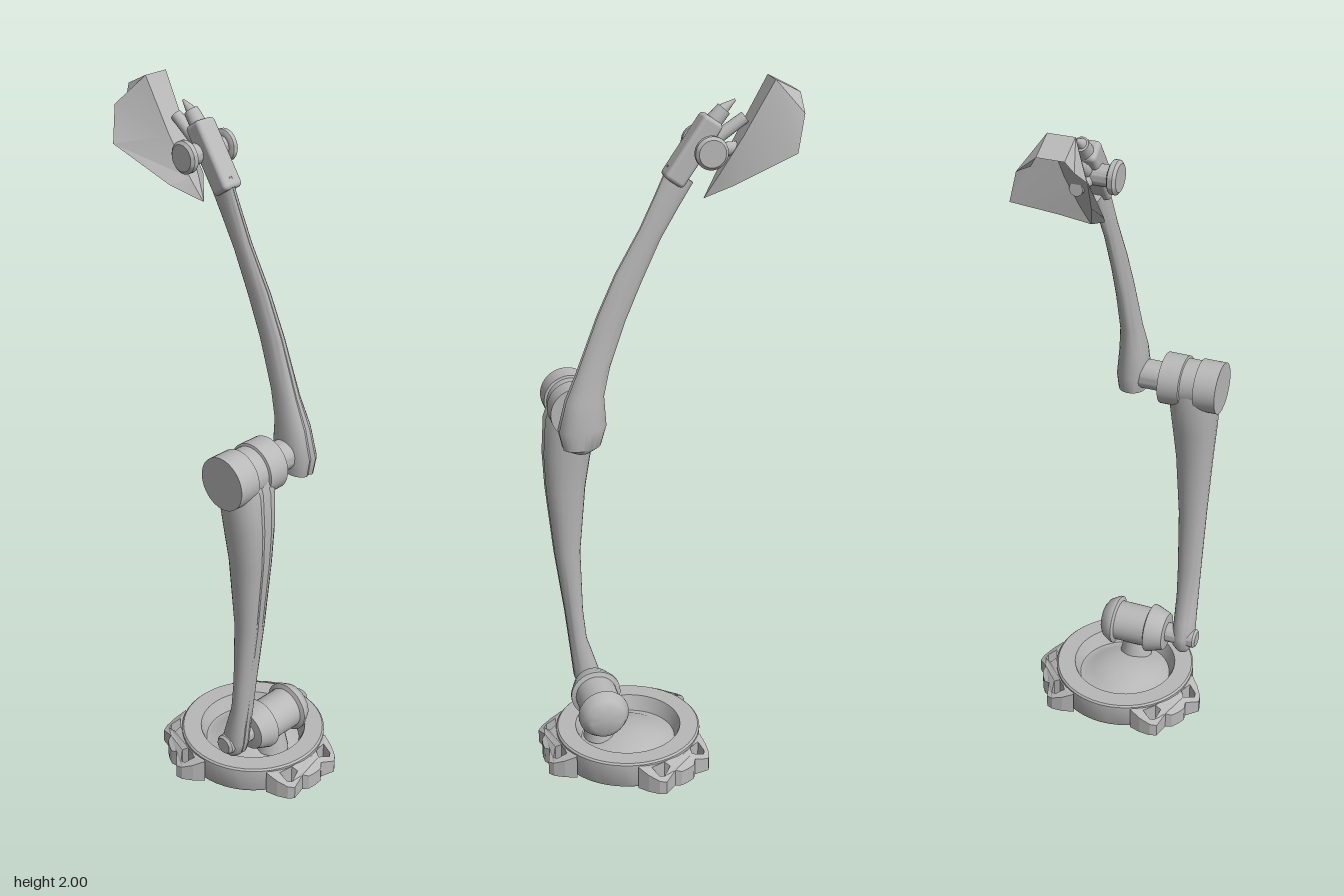
import * as THREE from 'three';
import { toCreasedNormals } from 'three/addons/utils/BufferGeometryUtils.js';
import { RoundedBoxGeometry } from 'three/addons/geometries/RoundedBoxGeometry.js';

const grey = new THREE.MeshStandardMaterial({ color: 0xb8b8b8 });
grey.name = 'grey metal';
const greyShell = new THREE.MeshStandardMaterial({ color: 0xb8b8b8, side: THREE.DoubleSide });
greyShell.name = 'grey metal shell';

function add(parent, name, geometry, x = 0, y = 0, z = 0, material = grey) {
  const mesh = new THREE.Mesh(geometry, material);
  mesh.name = name;
  mesh.position.set(x, y, z);
  parent.add(mesh);
  return mesh;
}

// Turned part from [radius, height] pairs
function turned(profile, segments = 32, crease = 0.6) {
  const points = profile.map(([r, h]) => new THREE.Vector2(r, h));
  return toCreasedNormals(new THREE.LatheGeometry(points, segments), crease);
}

// Turned part lying along z
const turnedZ = (profile, segments) => turned(profile, segments).rotateX(Math.PI / 2);

// Limb lofted upward; each section is [leftX, leftY, rightX, rightY, centreZ, halfZ]
function limb(sections, groove) {
  const n = 24, pos = [], index = [];
  for (const [lx, ly, rx, ry, cz, hz] of sections) {
    for (let k = 0; k < n; k++) {
      const a = (k / n) * Math.PI * 2;
      const c = Math.sign(Math.cos(a)) * Math.abs(Math.cos(a)) ** 0.85 * (k === 0 ? groove : 1);
      pos.push((lx + rx) / 2 + (c * (rx - lx)) / 2, (ly + ry) / 2 + (c * (ry - ly)) / 2, cz + Math.sin(a) * hz);
    }
  }
  const last = sections.length - 1;
  for (let i = 0; i < last; i++) {
    for (let k = 0; k < n; k++) {
      const a = i * n + k, b = i * n + ((k + 1) % n);
      index.push(a, a + n, b, b, a + n, b + n);
    }
  }
  for (let k = 1; k < n - 1; k++) {
    index.push(0, k, k + 1, last * n, last * n + k + 1, last * n + k);
  }
  const g = new THREE.BufferGeometry();
  g.setAttribute('position', new THREE.Float32BufferAttribute(pos, 3));
  g.setIndex(index);
  return toCreasedNormals(g, 0.7);
}

// Sloping foot with two openings, pointing along +x
function footGeometry() {
  const half = [[0.18, 0.125], [0.215, 0.116], [0.245, 0.101], [0.258, 0.085], [0.246, 0.04], [0.258, 0.025]];
  const outline = [...half.map(([x, z]) => [x, -z]), [0.26, 0], ...[...half].reverse()];
  const shape = new THREE.Shape(outline.map(([x, z]) => new THREE.Vector2(x, z)));
  const opening = [[0.204, 0.094], [0.233, 0.092], [0.242, 0.08], [0.23, 0.045], [0.213, 0.052]];
  for (const s of [-1, 1]) {
    shape.holes.push(new THREE.Path(opening.map(([x, z]) => new THREE.Vector2(x, s * z))));
  }
  const g = new THREE.ExtrudeGeometry(shape, { depth: 1, bevelEnabled: false }).rotateX(Math.PI / 2);
  const p = g.attributes.position;
  for (let i = 0; i < p.count; i++) {
    const r = Math.hypot(p.getX(i), p.getZ(i));
    p.setY(i, p.getY(i) > -0.5 ? Math.min(0.078, 0.08 - (r - 0.205) * 0.6) : 0);
  }
  g.computeVertexNormals();
  return g;
}

// Head shield: rows of [innerX, innerY, innerZ, wingX, wingY, wingZ], mirrored about its centre
function shieldGeometry() {
  const rows = [
    [-0.362, 1.965, 0.036, -0.35, 1.935, 0.055],
    [-0.294, 2.0, 0.036, -0.358, 1.92, 0.09],
    [-0.212, 1.855, 0.03, -0.332, 1.825, 0.122],
    [-0.15, 1.75, 0.015, -0.18, 1.735, 0.062],
    [-0.115, 1.69, 0.001, -0.117, 1.691, 0.003],
  ];
  const pos = [], index = [];
  for (const [x, y, z, wx, wy, wz] of rows) pos.push(wx, wy, -wz, x, y, -z, x, y, z, wx, wy, wz);
  for (let i = 0; i < rows.length - 1; i++) {
    for (let k = 0; k < 3; k++) {
      const a = i * 4 + k;
      index.push(a, a + 1, a + 4, a + 1, a + 5, a + 4);
    }
  }
  const g = new THREE.BufferGeometry();
  g.setAttribute('position', new THREE.Float32BufferAttribute(pos, 3));
  g.setIndex(index);
  return toCreasedNormals(g, 0.4);
}

// Tapered rod between two points
function rod(parent, name, from, to, r0, r1) {
  const a = new THREE.Vector3(...from), b = new THREE.Vector3(...to), d = b.clone().sub(a);
  const mesh = add(parent, name, new THREE.CylinderGeometry(r1, r0, d.length(), 16));
  mesh.position.copy(a).addScaledVector(d, 0.5);
  mesh.quaternion.setFromUnitVectors(new THREE.Vector3(0, 1, 0), d.normalize());
}

export function createModel() {
  const model = new THREE.Group();
  model.name = 'jointedArm';

  // Base ring with domed middle and three feet
  const base = new THREE.Group();
  base.name = 'base';
  base.position.x = 0.1;
  model.add(base);
  add(base, 'baseRing', turned([
    [0, 0.015], [0.05, 0.015], [0.055, 0], [0.21, 0], [0.215, 0.01], [0.215, 0.075], [0.21, 0.08],
    [0.157, 0.08], [0.14, 0.035], [0.13, 0.035], [0.1, 0.052], [0.05, 0.066], [0, 0.07],
  ], 48));
  const foot = footGeometry();
  for (let i = 0; i < 3; i++) add(base, 'foot', foot).rotation.y = (i * Math.PI * 2) / 3;

  // Ankle motor on a short support
  add(model, 'motorSupport', new THREE.CylinderGeometry(0.035, 0.05, 0.07, 20), 0.185, 0.085, 0.005);
  add(model, 'ankleMotor', turnedZ([
    [0, -0.098], [0.045, -0.098], [0.06, -0.088], [0.075, -0.062], [0.075, -0.055], [0.062, -0.05],
    [0.062, 0.048], [0.075, 0.053], [0.075, 0.062], [0.058, 0.108], [0.03, 0.11], [0.03, 0.2], [0.024, 0.207], [0, 0.207],
  ]), 0.185, 0.163, 0);

  // Lower leg
  add(model, 'lowerLeg', limb([
    [0.165, 0.112, 0.2, 0.112, 0.162, 0.018],
    [0.15, 0.135, 0.222, 0.135, 0.162, 0.032],
    [0.15, 0.17, 0.232, 0.17, 0.162, 0.035],
    [0.165, 0.22, 0.237, 0.22, 0.162, 0.034],
    [0.19, 0.3, 0.245, 0.3, 0.162, 0.034],
    [0.2, 0.4, 0.256, 0.4, 0.162, 0.036],
    [0.204, 0.6, 0.283, 0.6, 0.162, 0.042],
    [0.185, 0.81, 0.304, 0.81, 0.162, 0.054],
    [0.167, 0.92, 0.309, 0.92, 0.162, 0.064],
    [0.15, 1.03, 0.302, 1.03, 0.161, 0.073],
    [0.155, 1.07, 0.288, 1.07, 0.161, 0.073],
  ], 0.85));

  // Knee cylinder with grooves and its shaft
  add(model, 'kneeJoint', turnedZ([
    [0, -0.03], [0.043, -0.03], [0.043, 0.074], [0.075, 0.074], [0.075, 0.136], [0.068, 0.138],
    [0.068, 0.178], [0.075, 0.18], [0.075, 0.245], [0, 0.245],
  ], 40), 0.22, 1.07, 0);

  // Upper arm
  add(model, 'upperArm', limb([
    [0.205, 1.002, 0.25, 1.0, -0.03, 0.022],
    [0.175, 1.02, 0.282, 1.012, -0.026, 0.04],
    [0.158, 1.075, 0.294, 1.065, -0.024, 0.045],
    [0.163, 1.16, 0.272, 1.15, -0.022, 0.038],
    [0.145, 1.24, 0.238, 1.23, -0.02, 0.028],
    [0.1, 1.37, 0.18, 1.385, -0.02, 0.022],
    [0.055, 1.475, 0.128, 1.5, -0.019, 0.018],
    [0.002, 1.59, 0.06, 1.62, -0.018, 0.016],
    [-0.045, 1.67, 0.018, 1.71, -0.018, 0.015],
    [-0.085, 1.735, -0.015, 1.785, -0.018, 0.014],
  ], 0.88));

  // Head
  const head = new THREE.Group();
  head.name = 'head';
  head.position.z = -0.02;
  model.add(head);
  add(head, 'headBracket', new RoundedBoxGeometry(0.06, 0.195, 0.064, 3, 0.012), -0.08, 1.822, 0).rotation.z = 0.603;
  add(head, 'headHinge', turnedZ([
    [0, -0.084], [0.036, -0.084], [0.044, -0.077], [0.044, -0.064], [0.038, -0.06], [0.028, -0.06],
    [0.028, 0.06], [0.038, 0.06], [0.044, 0.064], [0.044, 0.077], [0.036, 0.084], [0, 0.084],
  ]), -0.114, 1.828, 0);
  rod(head, 'shieldLink', [-0.1, 1.815, 0], [-0.2, 1.82, 0], 0.02, 0.018);
  rod(head, 'lowerProng', [-0.14, 1.845, 0], [-0.222, 1.9, 0], 0.018, 0.016);
  rod(head, 'upperProng', [-0.13, 1.885, 0], [-0.165, 1.925, 0], 0.024, 0.02);
  rod(head, 'prongTip', [-0.155, 1.918, 0], [-0.195, 1.947, 0], 0.018, 0.003);
  add(head, 'shield', shieldGeometry(), 0, 0, 0.005, greyShell);

  return model;
}
